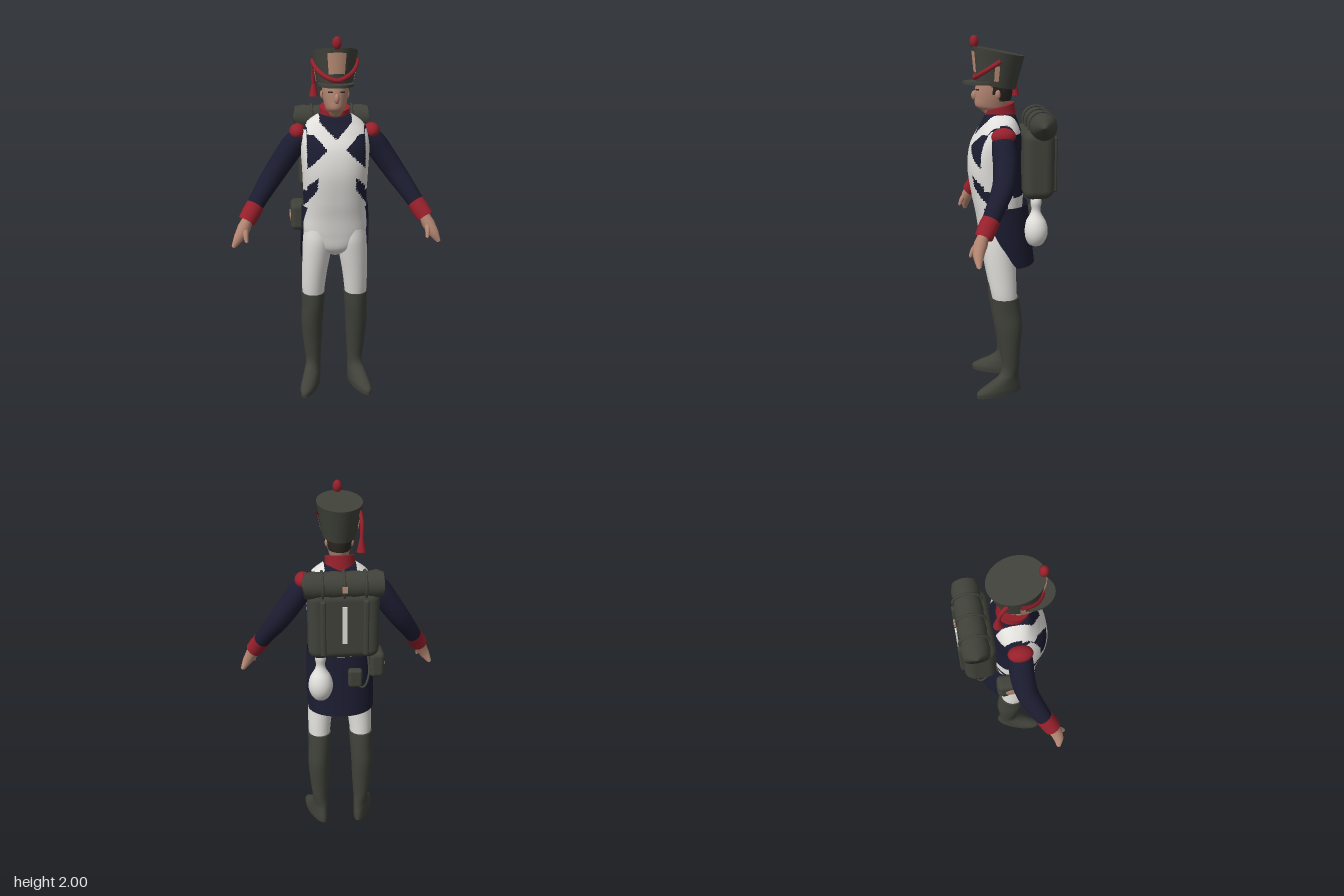
import * as THREE from 'three';
import { RoundedBoxGeometry } from 'three/addons/geometries/RoundedBoxGeometry.js';

const material = (name, color, side = THREE.FrontSide) => {
  const m = new THREE.MeshStandardMaterial({ color, side });
  m.name = name;
  return m;
};
const leather = material('darkLeather', 0x40423a);
const blue = material('coatBlue', 0x1b1c30, THREE.DoubleSide);
const red = material('trimRed', 0x96202b);
const white = material('clothWhite', 0xe2e0dc);
const skin = material('skin', 0xb48672);
const hair = material('hair', 0x2c2722);
const brass = material('brass', 0xbb8e76, THREE.DoubleSide);

const V = (x, y, z) => new THREE.Vector3(x, y, z);
const bend = (v, p) => Math.sign(v) * Math.abs(v) ** (2 / p);

function part(parent, name, geometry, mat, x = 0, y = 0, z = 0) {
  const mesh = new THREE.Mesh(geometry, mat);
  mesh.name = name;
  mesh.position.set(x, y, z);
  parent.add(mesh);
  return mesh;
}

// Smooth body from horizontal cross-sections [y, cx, cz, rx, rz], bottom to top
function loft(sections, { rows = 32, seg = 32, p = 2, mirror = 1, caps = true } = {}) {
  const mid = new THREE.CatmullRomCurve3(sections.map(s => V(s[1] * mirror, s[0], s[2])), false, 'catmullrom');
  const rad = new THREE.CatmullRomCurve3(sections.map(s => V(s[3], 0, s[4])), false, 'catmullrom');
  const pos = [], idx = [];
  const ring = t => {
    const c = mid.getPoint(t), r = rad.getPoint(t);
    for (let i = 0; i < seg; i++) {
      const a = i / seg * Math.PI * 2;
      pos.push(c.x + r.x * bend(Math.sin(a), p), c.y, c.z + r.z * bend(Math.cos(a), p));
    }
    return c;
  };
  for (let j = 0; j <= rows; j++) ring(j / rows);
  for (let j = 0; j < rows; j++) for (let i = 0; i < seg; i++) {
    const a = j * seg + i, b = j * seg + (i + 1) % seg;
    idx.push(a, b, b + seg, a, b + seg, a + seg);
  }
  if (caps) for (const t of [0, 1]) {
    const start = pos.length / 3, c = ring(t);
    pos.push(c.x, c.y, c.z);
    for (let i = 0; i < seg; i++) {
      const a = start + i, b = start + (i + 1) % seg;
      idx.push(start + seg, t ? a : b, t ? b : a);
    }
  }
  const g = new THREE.BufferGeometry();
  g.setAttribute('position', new THREE.Float32BufferAttribute(pos, 3));
  g.setIndex(idx);
  g.computeVertexNormals();
  return g;
}

// Move each vertex by a rule
function warp(g, rule) {
  const a = g.attributes.position, v = V(0, 0, 0);
  for (let i = 0; i < a.count; i++) {
    v.fromBufferAttribute(a, i);
    rule(v, i);
    a.setXYZ(i, v.x, v.y, v.z);
  }
  return g;
}
function reshape(g, rule) {
  warp(g, rule).computeVertexNormals();
  return g;
}

// Tube with changing thickness and closed ends
function limb(points, radii, n = 28, seg = 18) {
  const curve = new THREE.CatmullRomCurve3(points.map(q => V(...q)));
  return warp(new THREE.TubeGeometry(curve, n, 1, seg), (v, i) => {
    const j = Math.floor(i / (seg + 1)), f = j / n * (radii.length - 1);
    const k = Math.min(Math.floor(f), radii.length - 2);
    const r = j === 0 || j === n ? 0.001 : THREE.MathUtils.lerp(radii[k], radii[k + 1], f - k);
    const c = curve.getPointAt(j / n);
    v.sub(c).multiplyScalar(r).add(c);
  });
}

// Sort triangles into material groups by the position of their centre
function paint(g, count, rule) {
  const a = g.attributes.position, old = g.index.array;
  const bins = Array.from({ length: count }, () => []);
  for (let i = 0; i < old.length; i += 3) {
    const c = V(0, 0, 0);
    for (let k = 0; k < 3; k++) c.add(V(0, 0, 0).fromBufferAttribute(a, old[i + k]));
    c.divideScalar(3);
    bins[rule(c.x, c.y, c.z)].push(old[i], old[i + 1], old[i + 2]);
  }
  g.setIndex(bins.flat());
  let start = 0;
  bins.forEach((b, i) => { g.addGroup(start, b.length, i); start += b.length; });
  return g;
}

// Coat and belts on the torso: 0 white, 1 blue
function torsoColour(x, y, z) {
  const ax = Math.abs(x);
  if (y < 1.04) return 0;
  if (y > 1.5 && ax > 0.085 && ax < 0.15) return 0;                 // shoulder straps
  if (ax > 0.153 && z > 0.05 && y > 1.2 && y <= 1.52) return 0;     // pack straps
  if (z < 0.02 && y > 1.08 && y < 1.165) return 0;                  // waist belt
  if (z < 0.16 && ax > 0.125 && Math.abs(y - 1.13 - (z + 0.02) * 0.9) < 0.03) return 0;
  if (z < 0.06) return 1;
  if (Math.abs(y - 1.43 - x) < 0.048 || Math.abs(y - 1.43 + x) < 0.048) return 0; // crossed belts
  if (y < 1.43 - ax && ax < 0.1 + Math.max(0, 1.22 - y) * 0.65) return 0;       // waistcoat
  return 1;
}

// Point on the tilted shako wall: angle from the front, height 0..1
function hatPoint(a, s, off = 0) {
  const z = 0.065 - 0.015 * s + (0.105 + 0.032 * s + off) * Math.cos(a);
  return V((0.088 + 0.032 * s + off) * Math.sin(a), 1.74 + 0.18 * s + (z - 0.06) * 0.2, z);
}
const hatPatch = (a, w, s0, s1) => reshape(new THREE.PlaneGeometry(1, 1, 12, 8), v =>
  v.copy(hatPoint(a + v.x * w, s0 + (v.y + 0.5) * (s1 - s0), 0.006)));

function buildHead(root) {
  const head = new THREE.Group();
  head.name = 'head';
  root.add(head);
  part(head, 'face', paint(loft([[1.56, 0, 0.045, 0.05, 0.05], [1.61, 0, 0.07, 0.045, 0.07], [1.635, 0, 0.083, 0.053, 0.09],
    [1.68, 0, 0.078, 0.064, 0.098], [1.73, 0, 0.073, 0.07, 0.1], [1.78, 0, 0.07, 0.07, 0.095]], { rows: 40, seg: 48 }), 2,
  (x, y, z) => (y > 1.66 && z < 0.05) || (y > 1.7 && z < 0.09) ? 1 : 0), [skin, hair]);
  const nose = part(head, 'nose', new THREE.SphereGeometry(1, 12, 10), skin, 0, 1.69, 0.176);
  nose.scale.set(0.013, 0.026, 0.019);
  for (const s of [-1, 1]) {
    part(head, 'ear', new THREE.SphereGeometry(1, 10, 8), skin, s * 0.067, 1.7, 0.06).scale.set(0.01, 0.024, 0.015);
    part(head, 'eyebrow', new THREE.BoxGeometry(0.026, 0.007, 0.008), hair, s * 0.03, 1.722, 0.164).rotation.y = s * 0.35;
  }

  // Shako
  const hat = new THREE.Group();
  hat.name = 'shako';
  root.add(hat);
  part(hat, 'shakoBody', reshape(loft([[1.74, 0, 0.065, 0.088, 0.105], [1.92, 0, 0.05, 0.12, 0.137]], { rows: 6, seg: 48 }),
    v => { v.y += (v.z - 0.06) * 0.2; }), leather);
  part(hat, 'peak', new THREE.CylinderGeometry(1, 1, 0.014, 36), leather, 0, 1.757, 0.125).scale.set(0.092, 1, 0.115);
  part(hat, 'frontPlate', hatPatch(0, 0.82, 0.28, 0.86), brass);
  const cord = [];
  for (let i = -8; i <= 8; i++) cord.push(hatPoint(i / 8 * 1.6, 0.1 + 0.65 * Math.abs(i / 8) ** 1.7, 0.004));
  part(hat, 'cord', new THREE.TubeGeometry(new THREE.CatmullRomCurve3(cord), 48, 0.012, 8), red);
  for (const s of [-1, 1]) part(hat, 'chinScales', hatPatch(s * 1.5, 0.2, 0.15, 0.6), brass);
  part(hat, 'pompom', new THREE.SphereGeometry(1, 16, 12), red, 0, 1.966, 0.176).scale.set(0.024, 0.034, 0.023);
  part(hat, 'tasselCord', limb([[-0.1, 1.88, 0.0], [-0.107, 1.82, -0.035], [-0.105, 1.73, -0.048]], [0.01, 0.011, 0.01]), red);
  part(hat, 'tassel', new THREE.CylinderGeometry(0.009, 0.025, 0.075, 12), red, -0.104, 1.713, -0.048);
}

function buildSide(root, s) {
  const flip = pts => pts.map(([x, y, z]) => [x * s, y, z]);
  // Leg and boot, toes turned outward
  part(root, 'breechesLeg', loft([[0.55, 0.12, 0.028, 0.058, 0.066], [0.62, 0.119, 0.037, 0.064, 0.072], [0.72, 0.112, 0.048, 0.07, 0.08],
    [0.82, 0.102, 0.057, 0.078, 0.088], [0.91, 0.092, 0.057, 0.084, 0.1], [0.98, 0.088, 0.055, 0.08, 0.1]], { mirror: s }), white);
  part(root, 'boot', reshape(loft([[0, 0.122, 0.068, 0.046, 0.13], [0.03, 0.122, 0.067, 0.049, 0.128], [0.06, 0.122, 0.046, 0.047, 0.102],
    [0.1, 0.122, 0.015, 0.044, 0.064], [0.15, 0.122, 0, 0.043, 0.05], [0.27, 0.125, 0.003, 0.054, 0.059], [0.4, 0.127, 0.01, 0.062, 0.075],
    [0.5, 0.122, 0.021, 0.063, 0.079], [0.585, 0.12, 0.029, 0.067, 0.076]], { rows: 48, mirror: s }),
  v => { if (v.y < 0.16) v.x += s * v.z * 0.3 * Math.min(1, (0.16 - v.y) / 0.06); }), leather);
  // Arm and hand
  part(root, 'sleeve', limb(flip([[0.15, 1.48, 0.045], [0.2, 1.455, 0.045], [0.26, 1.375, 0.045], [0.33, 1.275, 0.06],
    [0.4, 1.175, 0.11], [0.455, 1.09, 0.155]]), [0.055, 0.064, 0.061, 0.056, 0.048, 0.042]), blue);
  part(root, 'cuff', limb(flip([[0.428, 1.13, 0.132], [0.452, 1.093, 0.155], [0.478, 1.053, 0.177]]), [0.048, 0.049, 0.046]), red);
  part(root, 'epaulette', new THREE.SphereGeometry(1, 20, 14), red, s * 0.197, 1.502, 0.045).scale.set(0.044, 0.044, 0.064);
  part(root, 'hand', limb(flip([[0.465, 1.075, 0.17], [0.492, 1.02, 0.193], [0.518, 0.975, 0.205], [0.552, 0.918, 0.205]]),
    [0.026, 0.035, 0.027, 0.01]), skin);
  part(root, 'thumb', limb(flip([[0.483, 1.03, 0.2], [0.482, 0.995, 0.228], [0.478, 0.955, 0.245]]), [0.016, 0.014, 0.008], 14, 10), skin);
}

function buildKit(root) {
  // Knapsack with rolled coat and straps
  const pack = new THREE.Group();
  pack.name = 'knapsack';
  root.add(pack);
  const body = new RoundedBoxGeometry(0.37, 0.37, 0.16, 8, 0.05);
  part(pack, 'packBody', warp(body, v => { if (v.z < 0) v.z *= 1.0 + 0.18 * Math.cos(v.y * 7); }), leather, 0, 1.335, -0.145);
  part(pack, 'coatRoll', limb([[-0.212, 1.54, -0.168], [0, 1.54, -0.168], [0.212, 1.54, -0.168]],
    [0.062, 0.073, 0.067, 0.073, 0.067, 0.073, 0.067, 0.073, 0.062], 40, 24), leather);
  for (const x of [-0.11, 0, 0.11]) {
    part(pack, 'rollStrap', new THREE.TorusGeometry(0.073, 0.007, 8, 28), leather, x, 1.54, -0.168).rotation.y = Math.PI / 2;
    if (x) part(pack, 'packStrap', new RoundedBoxGeometry(0.028, 0.3, 0.03, 3, 0.01), leather, x, 1.33, -0.237);
  }
  part(pack, 'centreStrap', new THREE.BoxGeometry(0.024, 0.2, 0.009), white, 0, 1.35, -0.246);
  part(pack, 'buckle', new THREE.BoxGeometry(0.028, 0.03, 0.009), brass, 0, 1.54, -0.247);
  // Gourd flask
  const profile = [[0.001, 0.88], [0.035, 0.89], [0.06, 0.93], [0.066, 0.975], [0.055, 1.02], [0.032, 1.06], [0.024, 1.09], [0.03, 1.13], [0.022, 1.16], [0.001, 1.17]];
  const smooth = new THREE.SplineCurve(profile.map(q => new THREE.Vector2(...q))).getPoints(36);
  part(root, 'flask', new THREE.LatheGeometry(smooth, 28), white, 0.12, 0, -0.138);
  // Cartridge pouch with round badge
  part(root, 'pouch', new RoundedBoxGeometry(0.085, 0.15, 0.15, 5, 0.028), leather, -0.197, 1.035, 0.0);
  part(root, 'pouchBadge', new THREE.CylinderGeometry(0.032, 0.032, 0.008, 20), brass, -0.24, 1.03, 0).rotation.z = Math.PI / 2;
  // Small pouch and its sling
  part(root, 'smallPouch', new RoundedBoxGeometry(0.075, 0.1, 0.05, 4, 0.015), leather, -0.065, 1.01, -0.152);
  part(root, 'sling', limb([[-0.07, 0.97, -0.165], [-0.11, 0.96, -0.168], [-0.14, 1.02, -0.145], [-0.14, 1.12, -0.1]], [0.006, 0.006]), leather);
}

export function createModel() {
  const root = new THREE.Group();
  root.name = 'soldier';
  // Torso with waistcoat, coat and belts
  part(root, 'torso', paint(loft([[0.825, 0, 0.055, 0.03, 0.05], [0.87, 0, 0.056, 0.12, 0.092], [0.95, 0, 0.055, 0.17, 0.11],
    [1.05, 0, 0.055, 0.172, 0.125], [1.15, 0, 0.06, 0.171, 0.14], [1.3, 0, 0.075, 0.176, 0.145], [1.42, 0, 0.068, 0.183, 0.138],
    [1.5, 0, 0.05, 0.178, 0.117], [1.55, 0, 0.043, 0.15, 0.095], [1.585, 0, 0.042, 0.105, 0.08], [1.6, 0, 0.042, 0.07, 0.065]],
  { rows: 110, seg: 128, p: 2.3 }), 2, torsoColour), [white, blue]);
  // Cut-away coat tails, open at the front
  part(root, 'coatTails', reshape(new THREE.PlaneGeometry(2, 1, 48, 16), v => {
    const k = v.y + 0.5, rz = 0.195 - 0.04 * k, cz = 0.05;
    const front = -0.02 + 0.16 * k ** 0.8;
    const a = v.x * Math.acos((cz - front) / rz);
    v.set(-(0.192 - 0.01 * k) * bend(Math.sin(a), 2.3), 0.77 + 0.34 * k, cz - rz * bend(Math.cos(a), 2.3));
  }), blue);
  // Collar and neckcloth
  part(root, 'collar', paint(reshape(loft([[1.55, 0, 0.042, 0.092, 0.086], [1.6, 0, 0.042, 0.08, 0.08], [1.64, 0, 0.045, 0.078, 0.078]],
    { rows: 10, seg: 64 }), v => { v.y -= (v.z - 0.02) * 0.25; }), 2,
  (x, y, z) => z > 0.06 && Math.abs(x) < 0.02 + Math.max(0, 1.58 - y) * 0.2 ? 1 : 0), [red, leather]);
  buildHead(root);
  for (const s of [-1, 1]) buildSide(root, s);
  buildKit(root);
  return root;
}
